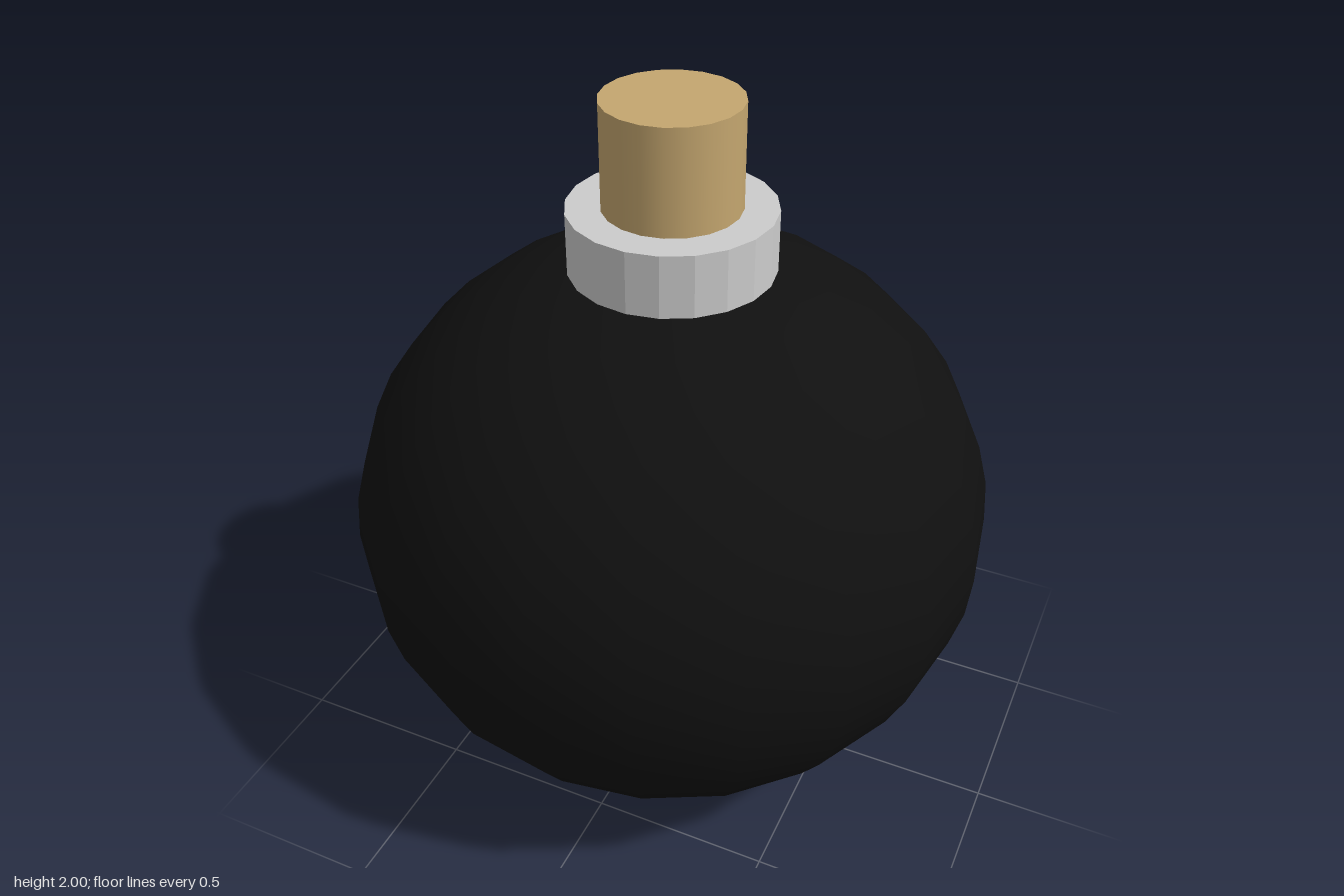
import * as THREE from 'three';

const SIDES = 20;
const DEG = Math.PI / 180;

export function createModel() {
  const group = new THREE.Group();
  const black = new THREE.MeshStandardMaterial({ color: 0x101010 });
  const tan = new THREE.MeshStandardMaterial({ color: 0xc4a66f });
  const grey = new THREE.MeshStandardMaterial({ color: 0xcccccc });
  const greyFlat = new THREE.MeshStandardMaterial({ color: 0xcccccc, flatShading: true });

  const add = (name, geometry, material, y) => {
    const mesh = new THREE.Mesh(geometry, material);
    mesh.name = name;
    mesh.position.y = y;
    group.add(mesh);
    return mesh;
  };

  // Slightly squashed round flask
  const radius = 0.887, halfHeight = 0.793;
  const squash = halfHeight / radius;
  add('body', new THREE.SphereGeometry(radius, SIDES, SIDES).scale(1, squash, 1), black, halfHeight);

  // Small grey panels in the second ring from the bottom: [start angle, panel count]
  for (const [start, count] of [[18, 2], [72, 1]]) {
    const panel = new THREE.SphereGeometry(radius * 1.002, count, 1,
      Math.PI + start * DEG, count * 18 * DEG, 162 * DEG, 9 * DEG);
    add('basePanel', panel.scale(1, squash, 1), grey, halfHeight);
  }

  // Faceted collar and the stopper in it
  add('collar', new THREE.CylinderGeometry(0.273, 0.273, 0.17, SIDES), greyFlat, 1.632);
  add('stopper', new THREE.CylinderGeometry(0.182, 0.182, 0.36, SIDES), tan, 1.82);

  return group;
}
